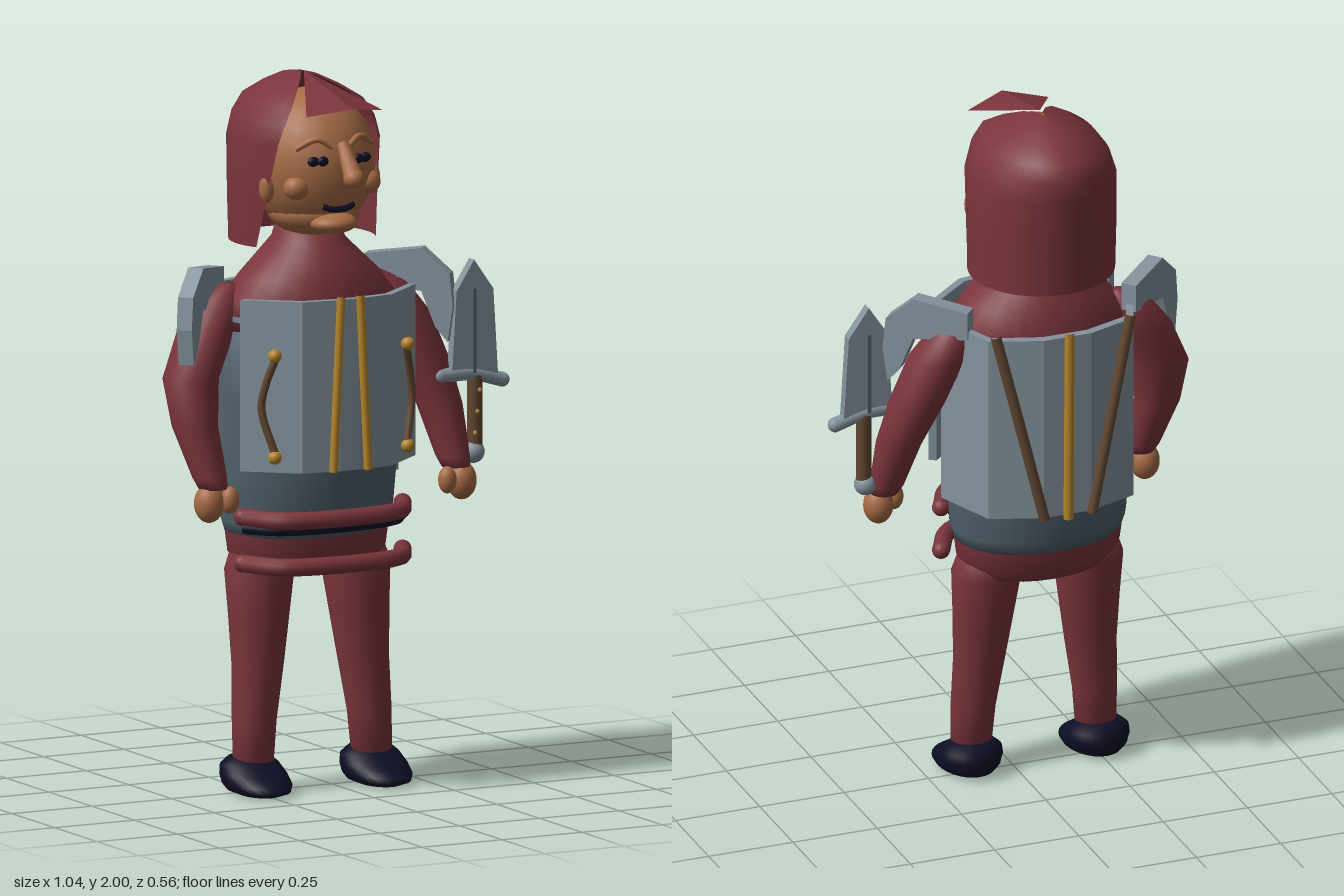
import * as THREE from 'three';

const mat = (name, color, side = THREE.FrontSide) => {
  const m = new THREE.MeshStandardMaterial({ color, side });
  m.name = name;
  return m;
};

// Surface through elliptical rings [y, cx, cz, rx, rz, openHalfAngle]
function loft(rings, seg = 28) {
  const rows = [...rings].sort((a, b) => a[0] - b[0]);
  const open = rows[0].length > 5, pos = [], idx = [];
  const n = open ? seg + 1 : seg;
  rows.forEach(([y, cx, cz, rx, rz, gap = 0]) => {
    for (let j = 0; j < n; j++) {
      const t = gap + (j / seg) * (Math.PI * 2 - gap * 2);
      pos.push(cx + rx * Math.sin(t), y, cz + rz * Math.cos(t));
    }
  });
  for (let i = 0; i < rows.length - 1; i++) {
    for (let j = 0; j < seg; j++) {
      const k = (j + 1) % n, a = i * n, b = a + n;
      idx.push(a + j, a + k, b + j, a + k, b + k, b + j);
    }
  }
  if (!open) {
    // Close both ends
    [0, rows.length - 1].forEach((r) => {
      const c = pos.length / 3;
      pos.push(rows[r][1], rows[r][0], rows[r][2]);
      for (let j = 0; j < n; j++) {
        const a = r * n + j, b = r * n + ((j + 1) % n);
        idx.push(c, ...(r ? [a, b] : [b, a]));
      }
    });
  }
  const g = new THREE.BufferGeometry();
  g.setAttribute('position', new THREE.Float32BufferAttribute(pos, 3));
  g.setIndex(idx);
  g.computeVertexNormals();
  return g;
}

// Folded armour plate following an [x, z] polyline
function foldedPlate(points, y0, y1) {
  const inner = points.map(([x, z]) => [x * 0.93, z * 0.9]).reverse();
  const shape = new THREE.Shape([...points, ...inner].map(([x, z]) => new THREE.Vector2(x, -z)));
  const g = new THREE.ExtrudeGeometry(shape, { depth: y1 - y0, bevelEnabled: false });
  return g.rotateX(-Math.PI / 2).translate(0, y0, 0);
}

const tube = (points, r, seg = 24) => new THREE.TubeGeometry(
  new THREE.CatmullRomCurve3(points.map((p) => new THREE.Vector3(...p))), seg, r, 10);

const flatShape = (points, depth) => new THREE.ExtrudeGeometry(
  new THREE.Shape(points.map((p) => new THREE.Vector2(...p))), { depth, bevelEnabled: false });

export function createModel() {
  const root = new THREE.Group();
  const red = mat('red cloth', 0x7a343c);
  const hoodRed = mat('red hood', 0x7a343c, THREE.DoubleSide);
  const slate = mat('slate tunic', 0x50606a);
  const steel = mat('steel', 0x84929c);
  const gold = mat('gold', 0xb5852a);
  const brown = mat('brown leather', 0x604630);
  const skin = mat('skin', 0xa66b45);
  const navy = mat('navy', 0x0e0e26);

  const body = new THREE.Group();
  body.name = 'figure';
  body.position.x = -0.065;
  root.add(body);
  const add = (name, geo, m) => {
    const mesh = new THREE.Mesh(geo, m);
    mesh.name = name;
    body.add(mesh);
    return mesh;
  };
  const ball = (name, m, [x, y, z], [rx, ry, rz]) => {
    const b = add(name, new THREE.SphereGeometry(1, 24, 16), m);
    b.position.set(x, y, z);
    b.scale.set(rx, ry, rz);
    return b;
  };

  // Torso
  add('hips', loft([
    [0.6, 0, -0.02, 0.12, 0.08], [0.62, 0, -0.02, 0.2, 0.13], [0.67, 0, -0.025, 0.235, 0.155],
    [0.75, 0, -0.025, 0.245, 0.17], [0.8, 0, -0.025, 0.24, 0.17]]), red);
  add('tunic', loft([
    [0.72, 0, -0.025, 0.24, 0.165], [0.76, 0, -0.025, 0.252, 0.18], [0.9, 0, -0.025, 0.262, 0.2],
    [1.1, 0, -0.02, 0.265, 0.2], [1.34, 0, -0.01, 0.26, 0.185]]), slate);
  add('shoulderDome', loft([
    [1.3, 0, -0.01, 0.265, 0.185], [1.38, 0, -0.01, 0.25, 0.18], [1.44, 0, -0.01, 0.205, 0.165],
    [1.5, 0, -0.01, 0.14, 0.14], [1.54, 0, -0.015, 0.1, 0.11], [1.6, 0, -0.02, 0.08, 0.09]]), red);

  // Belt rolls standing off the waist
  const roll = (y, z, w) => [[-w, y, 0.07], [-w * 0.72, y, z * 0.84], [0, y, z], [w * 0.72, y, z * 0.84], [w, y, 0.07]];
  [0.785, 0.655].forEach((y) => {
    add('beltRoll', tube(roll(y, 0.215, 0.25), 0.025, 40), red);
    [-1, 1].forEach((s) => ball('beltRollEnd', red, [s * 0.25, y, 0.07], [0.025, 0.025, 0.025]));
  });
  add('darkBelt', tube(roll(0.757, 0.175, 0.245), 0.02, 40), navy);

  // Chest and back armour
  add('chestPlate', foldedPlate([[-0.275, 0.1], [-0.14, 0.215], [-0.03, 0.23],
    [0.03, 0.23], [0.14, 0.215], [0.275, 0.1]], 0.92, 1.4), steel);
  add('backPlate', foldedPlate([[0.285, -0.02], [0.215, -0.2], [0.07, -0.25],
    [-0.07, -0.25], [-0.215, -0.2], [-0.285, -0.02]], 0.86, 1.4), steel);
  add('backTrim', tube([[0, 1.42, -0.265], [0, 0.85, -0.255]], 0.014), gold);

  [-1, 1].forEach((s) => {
    add('chestTrim', tube([[s * 0.03, 1.41, 0.235], [s * 0.054, 0.92, 0.235]], 0.012), gold);
    add('chestStrap', tube([[s * 0.205, 1.24, 0.178], [s * 0.225, 1.17, 0.16],
      [s * 0.235, 1.1, 0.152], [s * 0.205, 0.97, 0.178]], 0.011), brown);
    [1.25, 0.965].forEach((y) => ball('strapStud', gold, [s * 0.208, y, 0.18], [0.019, 0.019, 0.019]));
    add('backStrap', tube([[s * 0.2, 1.42, -0.215], [s * 0.135, 1.14, -0.237],
      [s * 0.07, 0.855, -0.255]], 0.015), brown);

    // Shoulder guard, turned outwards
    const guard = add('shoulderGuard', flatShape([[0, 1.38], [0, 1.46], [0.16, 1.48], [0.24, 1.41],
      [0.25, 1.32], [0.235, 1.22], [0.2, 1.26], [0.16, 1.36]].map(([u, y]) => [s * u, y]), 0.045), steel);
    guard.position.set(s * 0.25, 0, -0.13);
    guard.rotation.y = -s * 0.72;

    // Legs and shoes
    add('leg', loft([
      [0.7, s * 0.14, -0.025, 0.08, 0.08], [0.62, s * 0.15, -0.02, 0.1, 0.088],
      [0.5, s * 0.156, -0.012, 0.088, 0.076], [0.35, s * 0.165, -0.002, 0.074, 0.063],
      [0.2, s * 0.18, 0.006, 0.064, 0.054], [0.08, s * 0.185, 0.01, 0.058, 0.05]]), red);
    add('shoe', loft([
      [0, s * 0.188, 0.05, 0.05, 0.075], [0.012, s * 0.188, 0.047, 0.08, 0.115],
      [0.03, s * 0.188, 0.037, 0.092, 0.118], [0.055, s * 0.188, 0.015, 0.093, 0.097],
      [0.08, s * 0.188, -0.006, 0.084, 0.075], [0.1, s * 0.188, -0.008, 0.06, 0.054]]), navy);
  });

  // Arms and hands: the left one reaches out to the dagger
  const armX = { '-1': [0.23, 0.26, 0.305, 0.365, 0.365, 0.34, 0.335], '1': [0.23, 0.26, 0.305, 0.355, 0.4, 0.42, 0.425] };
  const armRings = [[1.42, -0.05, 0.02], [1.385, -0.05, 0.06], [1.3, -0.04, 0.08], [1.17, -0.02, 0.078],
    [1.04, 0.005, 0.064], [0.9, 0.045, 0.048], [0.87, 0.055, 0.04]];
  [-1, 1].forEach((s) => {
    add('arm', loft(armRings.map(([y, z, r], i) => [y, s * armX[s][i], z, r, r])), red);
    const hx = s < 0 ? -0.35 : 0.44;
    ball('hand', skin, [hx, 0.83, 0.06], [0.042, 0.054, 0.042]);
    ball('thumb', skin, [hx - s * 0.055, 0.838, 0.08], [0.026, 0.038, 0.025]);
  });

  // Dagger
  const dagger = new THREE.Group();
  dagger.name = 'dagger';
  dagger.position.set(0.477, 0, 0.05);
  body.add(dagger);
  const addDagger = (name, geo, m) => {
    const mesh = new THREE.Mesh(geo, m);
    mesh.name = name;
    dagger.add(mesh);
  };
  addDagger('blade', flatShape([[-0.07, 1.11], [0.075, 1.11], [0.06, 1.36], [0, 1.445], [-0.055, 1.36]], 0.03).translate(0, 0, -0.015), steel);
  [-1, 1].forEach((s) => addDagger('fuller', new THREE.BoxGeometry(0.01, 0.24, 0.008).translate(0, 1.245, s * 0.016), slate));
  addDagger('guard', tube([[-0.1, 1.125, 0], [0, 1.125, 0], [0.095, 1.1, 0]], 0.021), steel);
  [[-0.1, 1.125], [0.095, 1.1]].forEach(([x, y]) => addDagger('guardEnd', new THREE.SphereGeometry(0.021, 12, 8).translate(x, y, 0), steel));
  addDagger('grip', new THREE.CylinderGeometry(0.022, 0.022, 0.2, 14).translate(0.01, 1.02, 0), brown);
  [0.96, 1.02, 1.08].forEach((y, i) => addDagger('gripStud', new THREE.SphereGeometry(0.007, 8, 6).translate(i * 0.007, y, 0.021), gold));
  addDagger('pommel', new THREE.SphereGeometry(0.032, 16, 12).translate(0.005, 0.905, 0), steel);

  // Head and face
  ball('head', skin, [0, 1.755, 0.005], [0.175, 0.205, 0.185]);
  ball('chin', skin, [0, 1.6, 0.13], [0.068, 0.03, 0.065]);
  ball('lowerHead', skin, [0, 1.62, 0.02], [0.13, 0.07, 0.13]);
  const nose = add('nose', new THREE.CylinderGeometry(0.016, 0.028, 0.11, 14), skin);
  nose.position.set(0, 1.785, 0.22);
  nose.rotation.x = -0.65;
  ball('noseTip', skin, [0, 1.742, 0.254], [0.03, 0.027, 0.03]);
  add('mouth', tube([[-0.048, 1.652, 0.158], [-0.02, 1.643, 0.164], [0.02, 1.643, 0.164], [0.048, 1.652, 0.158]], 0.009), navy);
  [-1, 1].forEach((s) => {
    ball('cheek', skin, [s * 0.11, 1.705, 0.125], [0.038, 0.034, 0.035]);
    ball('ear', skin, [s * 0.165, 1.7, 0.05], [0.022, 0.045, 0.025]);
    [-0.013, 0.013].forEach((d) => ball('eye', navy, [s * 0.068 + d, 1.782, 0.172 - s * d * 0.35], [0.017, 0.014, 0.01]));
    add('brow', tube([[s * 0.025, 1.82, 0.178], [s * 0.065, 1.842, 0.163], [s * 0.118, 1.815, 0.134]], 0.009), skin);
  });

  // Open hood, slit up to its peak
  add('hood', loft([
    [1.53, 0, -0.05, 0.205, 0.2, 1.15], [1.66, 0, -0.05, 0.207, 0.21, 1.0], [1.82, 0, -0.045, 0.207, 0.23, 0.87],
    [1.88, 0, -0.045, 0.187, 0.233, 0.84], [1.925, 0, -0.045, 0.155, 0.215, 0.82],
    [1.96, 0, -0.05, 0.1, 0.15, 0.8], [1.985, 0, -0.06, 0.05, 0.08, 0.7],
    [1.997, 0, -0.06, 0.004, 0.01, 0.5]], 40), hoodRed);

  // Folded peak of the hood
  const peak = new THREE.BufferGeometry();
  peak.setAttribute('position', new THREE.Float32BufferAttribute([
    0, 2, -0.04, -0.12, 1.915, 0.2, 0, 1.935, 0.248,
    0, 2, -0.04, 0, 1.935, 0.248, 0.12, 1.915, 0.2], 3));
  peak.computeVertexNormals();
  add('hoodPeak', peak, hoodRed);

  return root;
}
